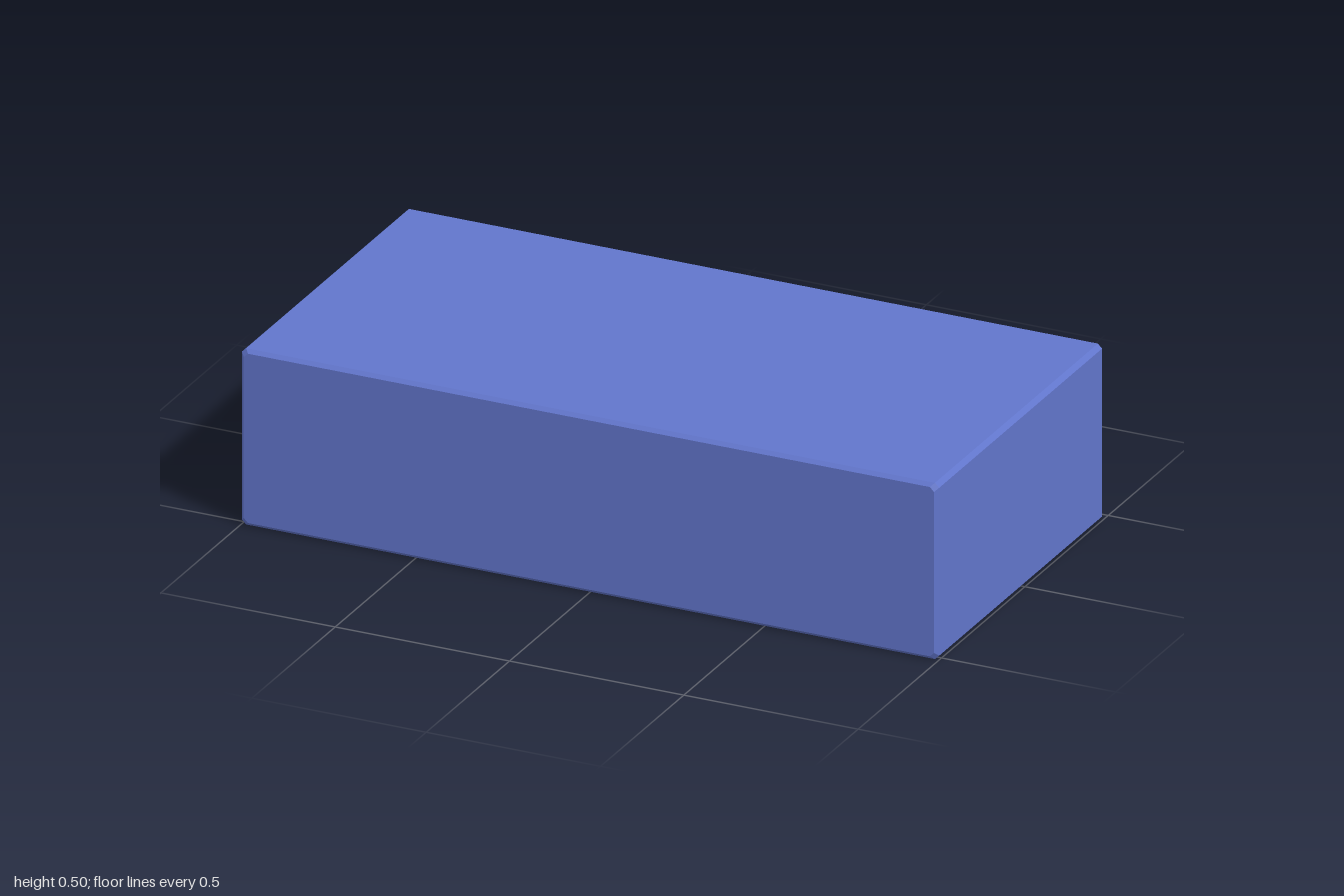
import * as THREE from 'three';
import { mergeGeometries } from 'three/addons/utils/BufferGeometryUtils.js';

const BACK = 0.473, FRONT = -0.524, RECESS = 0.015, PORT_DEPTH = 0.1;

// Counter-clockwise rectangle outline, optionally with cut corners.
function rect(cx, cy, w, h, c = 0) {
  const l = cx - w / 2, r = cx + w / 2, b = cy - h / 2, t = cy + h / 2;
  if (!c) return [[l, b], [r, b], [r, t], [l, t]];
  return [[l + c, b], [r - c, b], [r, b + c], [r, t - c], [r - c, t], [l + c, t], [l, t - c], [l, b + c]];
}

// Socket outline: wide slot with a narrow latch notch above (dir 1) or below (dir -1).
function socket(cx, cy, dir) {
  const pts = [[-0.033, -0.03], [0.033, -0.03], [0.033, 0.014], [0.016, 0.014],
    [0.016, 0.03], [-0.016, 0.03], [-0.016, 0.014], [-0.033, 0.014]];
  const out = pts.map(([x, y]) => [cx + x, cy + y * dir]);
  return dir < 0 ? out.reverse() : out;
}

// Side walls through outlines at given depths; rising z faces outward, falling z inward.
function walls(rings) {
  const pos = [];
  for (let k = 0; k + 1 < rings.length; k++) {
    const [p, z0] = rings[k], [q, z1] = rings[k + 1];
    p.forEach((a, i) => {
      const j = (i + 1) % p.length;
      pos.push(...a, z0, ...p[j], z0, ...q[j], z1, ...a, z0, ...q[j], z1, ...q[i], z1);
    });
  }
  const g = new THREE.BufferGeometry();
  g.setAttribute('position', new THREE.Float32BufferAttribute(pos, 3));
  g.computeVertexNormals();
  return g;
}

// Flat face with holes, facing +z.
function face(outline, z, holes = []) {
  const toVec = (o) => o.map(([x, y]) => new THREE.Vector2(x, y));
  const s = new THREE.Shape(toVec(outline));
  s.holes = holes.map((h) => new THREE.Path(toVec(h)));
  const g = new THREE.ShapeGeometry(s).toNonIndexed();
  g.deleteAttribute('uv');
  return g.translate(0, 0, z);
}

export function createModel() {
  const blue = new THREE.MeshStandardMaterial({ color: 0x6276cd });
  blue.name = 'casing blue';
  const teal = new THREE.MeshStandardMaterial({ color: 0x80cbc4 });
  teal.name = 'socket teal';
  const gold = new THREE.MeshStandardMaterial({ color: 0xc4900f });
  gold.name = 'indicator gold';

  const model = new THREE.Group();
  model.name = 'networkSwitch';
  // Built with the connector side toward +z, then turned to the rear.
  const unit = new THREE.Group();
  unit.name = 'unit';
  unit.rotation.y = Math.PI;
  model.add(unit);
  const add = (name, parts, material) => {
    const mesh = new THREE.Mesh(parts.length > 1 ? mergeGeometries(parts) : parts[0], material);
    mesh.name = name;
    unit.add(mesh);
  };

  // Recessed socket panels: two banks of 6 x 2 and one single socket.
  const panels = [
    { name: 'leftSocketBank', x: -0.4415, y: 0.249, w: 0.75, h: 0.25, cols: 6, rows: 2 },
    { name: 'rightSocketBank', x: 0.4345, y: 0.249, w: 0.75, h: 0.25, cols: 6, rows: 2 },
    { name: 'singleSocket', x: 0.906, y: 0.25, w: 0.121, h: 0.121, cols: 1, rows: 1 },
  ];
  const openings = panels.map((p) => rect(p.x, p.y, p.w, p.h));

  // Casing with chamfered edges and openings in the connector side
  const c = 0.01;
  const outer = rect(0, 0.25, 2, 0.5, 0.012);
  const inner = rect(0, 0.25, 2 - 2 * c, 0.5 - 2 * c, 0.012);
  const frontCap = face(inner, 0).rotateY(Math.PI).translate(0, 0, FRONT);
  add('casing', [
    walls([[inner, FRONT], [outer, FRONT + c], [outer, BACK - c], [inner, BACK]]),
    frontCap,
    face(inner, BACK, openings),
    ...openings.map((o) => walls([[o, BACK], [o, BACK - RECESS]])),
  ], blue);

  // Panels with their sunken sockets
  panels.forEach((p, n) => {
    const sockets = [];
    for (let r = 0; r < p.rows; r++) {
      for (let i = 0; i < p.cols; i++) {
        const x = p.x + (i - (p.cols - 1) / 2) * 0.125;
        const y = p.y + (r - (p.rows - 1) / 2) * 0.125;
        sockets.push(socket(x, y, r === 1 ? 1 : -1));
      }
    }
    const z = BACK - RECESS;
    add(p.name, [
      face(openings[n], z, sockets),
      ...sockets.flatMap((s) => [walls([[s, z], [s, z - PORT_DEPTH]]), face(s, z - PORT_DEPTH)]),
    ], teal);
  });

  // Pairs of small triangular indicators, one pointing down and one up
  const marks = [[-0.751, 0.44], [-0.751, 0.063], [0.125, 0.44], [0.125, 0.063], [0.907, 0.345]];
  marks.forEach(([x, y]) => {
    const a = 0.015;
    const down = [[x - 2.1 * a, y + a], [x - a, y - a], [x - 0.1 * a, y + a]];
    const up = [[x + 0.1 * a, y - a], [x + 2.1 * a, y - a], [x + a, y + a]];
    add('indicatorArrows', [down, up].flatMap((t) => [
      walls([[t, BACK - 0.002], [t, BACK + 0.006]]), face(t, BACK + 0.006),
    ]), gold);
  });

  // Power switch: chamfered housing and a V-shaped rocker
  const sx = -0.904, sy = 0.25;
  const base = rect(sx, sy, 0.065, 0.124);
  const rim = rect(sx, sy, 0.053, 0.112);
  add('switchHousing', [
    walls([[base, BACK - 0.005], [base, 0.507], [rim, 0.5125]]),
    face(rim, 0.5125),
  ], teal);
  const profile = new THREE.Shape([[0.49, 0.2], [0.524, 0.2], [0.513, 0.25], [0.524, 0.3], [0.49, 0.3]]
    .map(([z, y]) => new THREE.Vector2(z, y)));
  const rocker = new THREE.ExtrudeGeometry(profile, { depth: 0.036, bevelEnabled: false });
  rocker.rotateY(-Math.PI / 2).translate(sx + 0.018, 0, 0);
  add('switchRocker', [rocker], gold);

  return model;
}
